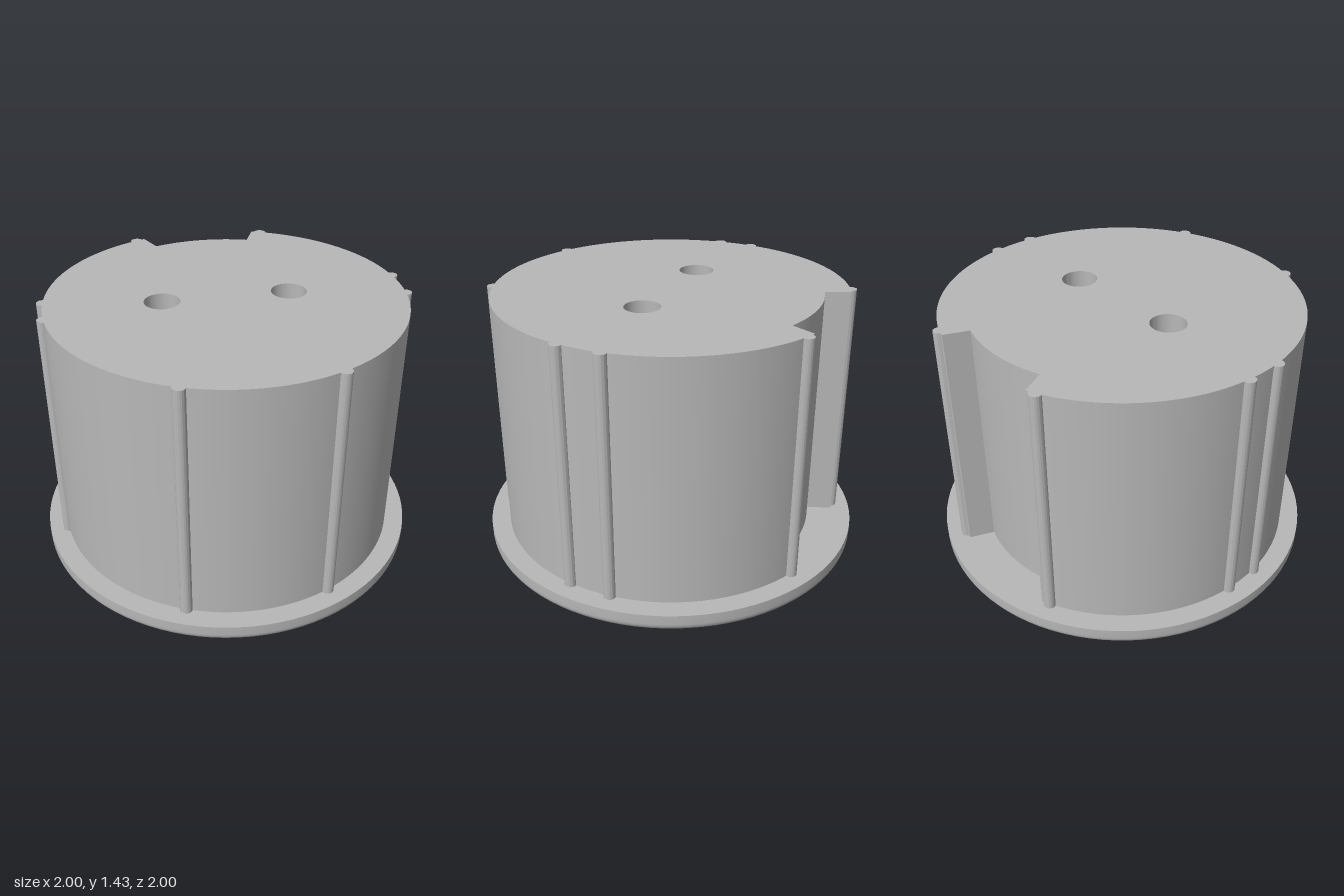
import * as THREE from 'three';
import { toCreasedNormals } from 'three/addons/utils/BufferGeometryUtils.js';

const BODY_R = 0.9, RIB_R = 0.031, FLANGE_TOP = 0.165, FLOOR = 0.2, TOP = 1.43;
const RECESS_R = 0.635, RING_R = 0.73;

// Body outline (shape y = -z): round, with half-round ribs and a notch at the back
function bodyOutline() {
  const ribs = [
    [-0.36, 0.83], [-0.9, 0.095], [-0.9, -0.095], [-0.36, -0.83],
    [0.36, -0.83], [0.9, -0.125], [0.9, 0.095], [0.36, 0.83],
  ].map(([x, y]) => {
    const a = Math.atan2(y, x);
    return a < Math.PI / 2 - 0.2 && y > 0.5 ? a + Math.PI * 2 : (a < 0 || y < 0.5 ? (a + Math.PI * 2) % (Math.PI * 2) : a);
  });
  // the two ribs right of the +x axis follow a full turn
  const angles = ribs.map((a) => (a < Math.PI / 2 ? a + Math.PI * 2 : a)).sort((p, q) => p - q);
  const step = RIB_R / BODY_R;
  const s = new THREE.Shape();
  const notchL = Math.PI - Math.atan2(0.84, 0.312);
  const notchArc = Math.atan2(0.72, 0.258);
  s.moveTo(-0.312, 0.84);
  let from = Math.PI - notchL;
  from = Math.PI - Math.atan2(0.84, 0.312);
  for (const a of angles) {
    if (a - step > from) s.absarc(0, 0, BODY_R, from, a - step, false);
    s.absarc(BODY_R * Math.cos(a), BODY_R * Math.sin(a), RIB_R, a - Math.PI / 2, a + Math.PI / 2, false);
    from = a + step;
  }
  s.lineTo(0.312, 0.84);
  s.lineTo(0.258, 0.72);
  s.absarc(0, 0, 0.765, notchArc, Math.PI - notchArc, false);
  s.closePath();
  return s;
}

function circleHole(x, r) {
  return new THREE.Path().absarc(x, 0, r, 0, Math.PI * 2, true);
}

// Extrude the body outline upward between two heights
function bodySlice(y0, y1, holes) {
  const shape = bodyOutline();
  shape.holes.push(...holes);
  const g = new THREE.ExtrudeGeometry(shape, { depth: y1 - y0, bevelEnabled: false, curveSegments: 32 });
  g.rotateX(-Math.PI / 2).translate(0, y0, 0);
  return toCreasedNormals(g, 0.5);
}

export function createModel() {
  const group = new THREE.Group();
  const grey = new THREE.MeshStandardMaterial({ color: 0xb8b8b8 });
  grey.name = 'plain grey';
  const add = (name, geometry) => {
    const mesh = new THREE.Mesh(geometry, grey);
    mesh.name = name;
    group.add(mesh);
  };

  // Main plug with two through holes, and the collar around the recess
  add('body', bodySlice(FLOOR, TOP, [circleHole(-0.32, 0.09), circleHole(0.32, 0.09)]));
  add('bodyCollar', bodySlice(FLANGE_TOP, FLOOR, [circleHole(0, RECESS_R)]));

  // Flange with rounded lower edge, and the ring below it
  const profile = [[RECESS_R, FLANGE_TOP], [RECESS_R, 0], [RING_R, 0], [RING_R, 0.065]];
  for (let i = 0; i <= 8; i++) {
    const t = (i / 8) * Math.PI / 2;
    profile.push([0.95 + 0.05 * Math.sin(t), 0.115 - 0.05 * Math.cos(t)]);
  }
  profile.push([1, FLANGE_TOP], [RECESS_R, FLANGE_TOP]);
  const lathe = new THREE.LatheGeometry(profile.map(([x, y]) => new THREE.Vector2(x, y)), 96);
  add('flange', toCreasedNormals(lathe, 0.5));

  // Grip bar across the recess
  const bar = new THREE.BoxGeometry(0.2, FLOOR, 1.29);
  bar.translate(0, FLOOR / 2, 0);
  add('gripBar', bar);
  return group;
}
